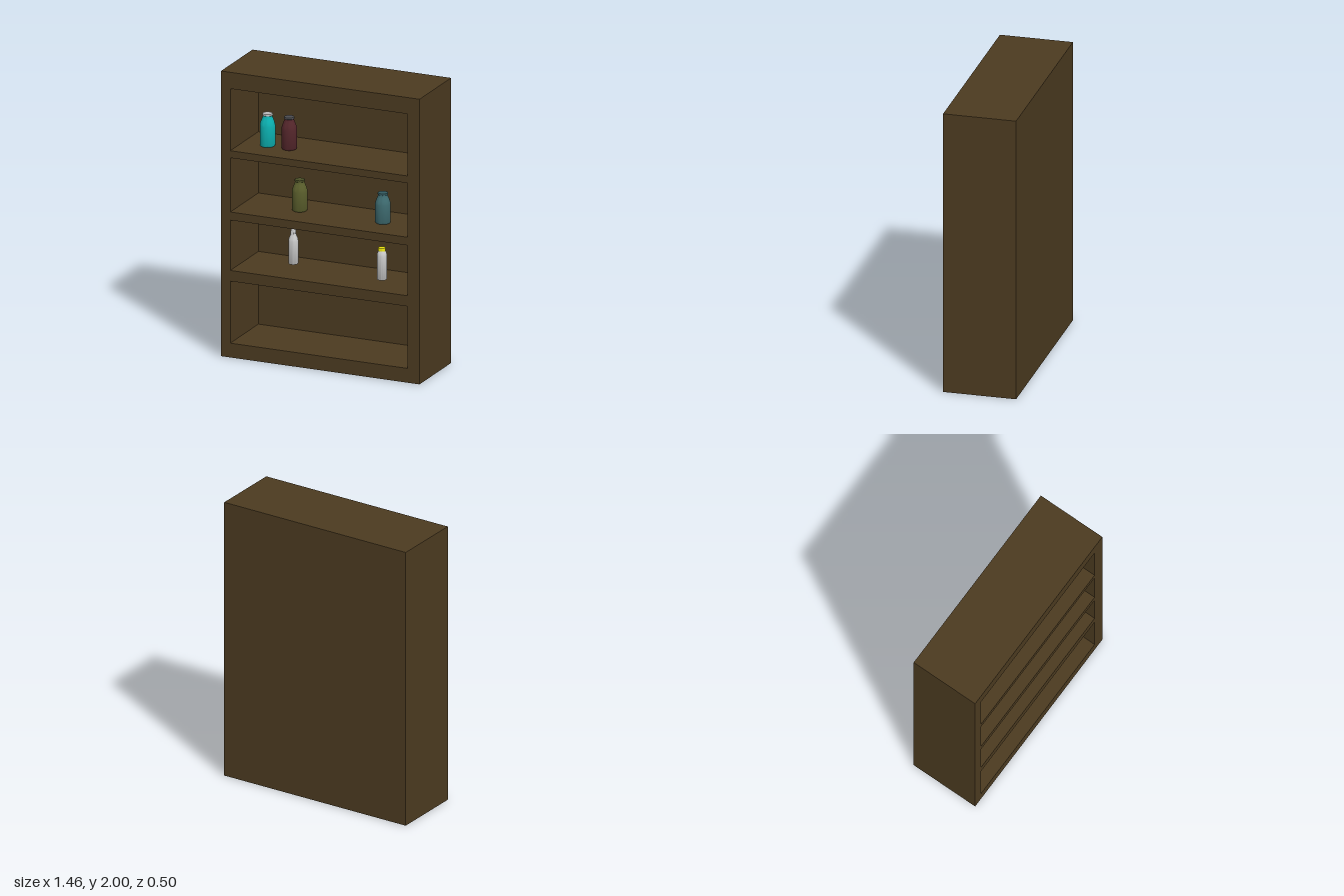
import * as THREE from 'three';
import { toCreasedNormals } from 'three/addons/utils/BufferGeometryUtils.js';

const W = 0.728, D = 0.252, H = 2, RECESS = 0.45;

function material(color) {
  return new THREE.MeshStandardMaterial({ color });
}

function rectangle(Path, x0, y0, x1, y1) {
  return new Path([[x0, y0], [x1, y0], [x1, y1], [x0, y1]].map(p => new THREE.Vector2(...p)));
}

// Surface of revolution from [radius, height] pairs
function lathe(name, profile, color) {
  const points = profile.map(p => new THREE.Vector2(...p));
  const geometry = toCreasedNormals(new THREE.LatheGeometry(points, 32), 0.7);
  const mesh = new THREE.Mesh(geometry, material(color));
  mesh.name = name;
  return mesh;
}

// Wide jar with rounded shoulders and a flat lid
function jar(height, color, lidColor) {
  const group = new THREE.Group();
  const s = height / 0.228;
  group.add(lathe('jarBody', [
    [0, 0], [0.044, 0], [0.049, 0.003], [0.052, 0.01], [0.052, 0.143], [0.050, 0.157],
    [0.045, 0.174], [0.037, 0.194], [0.032, 0.206], [0.031, 0.216], [0, 0.216],
  ].map(([r, y]) => [r, y * s]), color));
  group.add(lathe('jarLid', [
    [0, 0.214], [0.032, 0.214], [0.035, 0.217], [0.035, 0.225], [0.033, 0.228], [0, 0.228],
  ].map(([r, y]) => [r, y * s]), lidColor));
  return group;
}

// Slim bottle with a long neck
function slimBottle() {
  const group = new THREE.Group();
  group.add(lathe('slimBottleBody', [
    [0, 0], [0.031, 0], [0.033, 0.003], [0.033, 0.16], [0.031, 0.175], [0.022, 0.197],
    [0.018, 0.212], [0.016, 0.27], [0, 0.27],
  ], 0xcccccc));
  return group;
}

// Straight bottle with a coloured cap
function cappedBottle() {
  const group = new THREE.Group();
  group.add(lathe('cappedBottleBody', [
    [0, 0], [0.032, 0], [0.034, 0.003], [0.034, 0.165], [0.032, 0.182], [0.025, 0.198],
    [0.023, 0.202], [0, 0.202],
  ], 0xcccccc));
  group.add(lathe('bottleCap', [
    [0, 0.2], [0.025, 0.2], [0.025, 0.219], [0.024, 0.221], [0, 0.221],
  ], 0xe8e010));
  return group;
}

export function createModel() {
  const model = new THREE.Group();
  const wood = material(0x4b3a20);

  // Cabinet frame with four shelf openings
  const front = rectangle(THREE.Shape, -W, 0, W, H);
  for (const [low, high] of [[0.1, 0.535], [0.61, 0.963], [1.02, 1.4], [1.45, 1.885]]) {
    front.holes.push(rectangle(THREE.Path, -0.66, low, 0.64, high));
  }
  const frame = new THREE.Mesh(
    new THREE.ExtrudeGeometry(front, { depth: RECESS, bevelEnabled: false }), wood);
  frame.position.z = D - RECESS;
  frame.name = 'cabinetFrame';
  model.add(frame);

  // Back panel
  const thickness = 2 * D - RECESS;
  const back = new THREE.Mesh(new THREE.BoxGeometry(2 * W, H, thickness), wood);
  back.position.set(0, H / 2, -D + thickness / 2);
  back.name = 'backPanel';
  model.add(back);

  // Bottles and jars on the shelves
  const items = [
    ['cyanJar', jar(0.228, 0x0cb2b2, 0xb8b8b8), -0.479, 1.45, 0.05],
    ['redJar', jar(0.226, 0x54262b, 0x4c4c50), -0.32, 1.45, 0.05],
    ['oliveJar', jar(0.218, 0x5a5e2c, 0x4a4e26), -0.254, 1.02, 0.026],
    ['tealJar', jar(0.212, 0x3e6b70, 0x335a60), 0.36, 1.02, 0.035],
    ['slimBottle', slimBottle(), -0.299, 0.643, 0.03],
    ['cappedBottle', cappedBottle(), 0.378, 0.643, 0.09],
  ];
  for (const [name, item, x, y, z] of items) {
    item.name = name;
    item.position.set(x, y, z);
    model.add(item);
  }
  return model;
}
